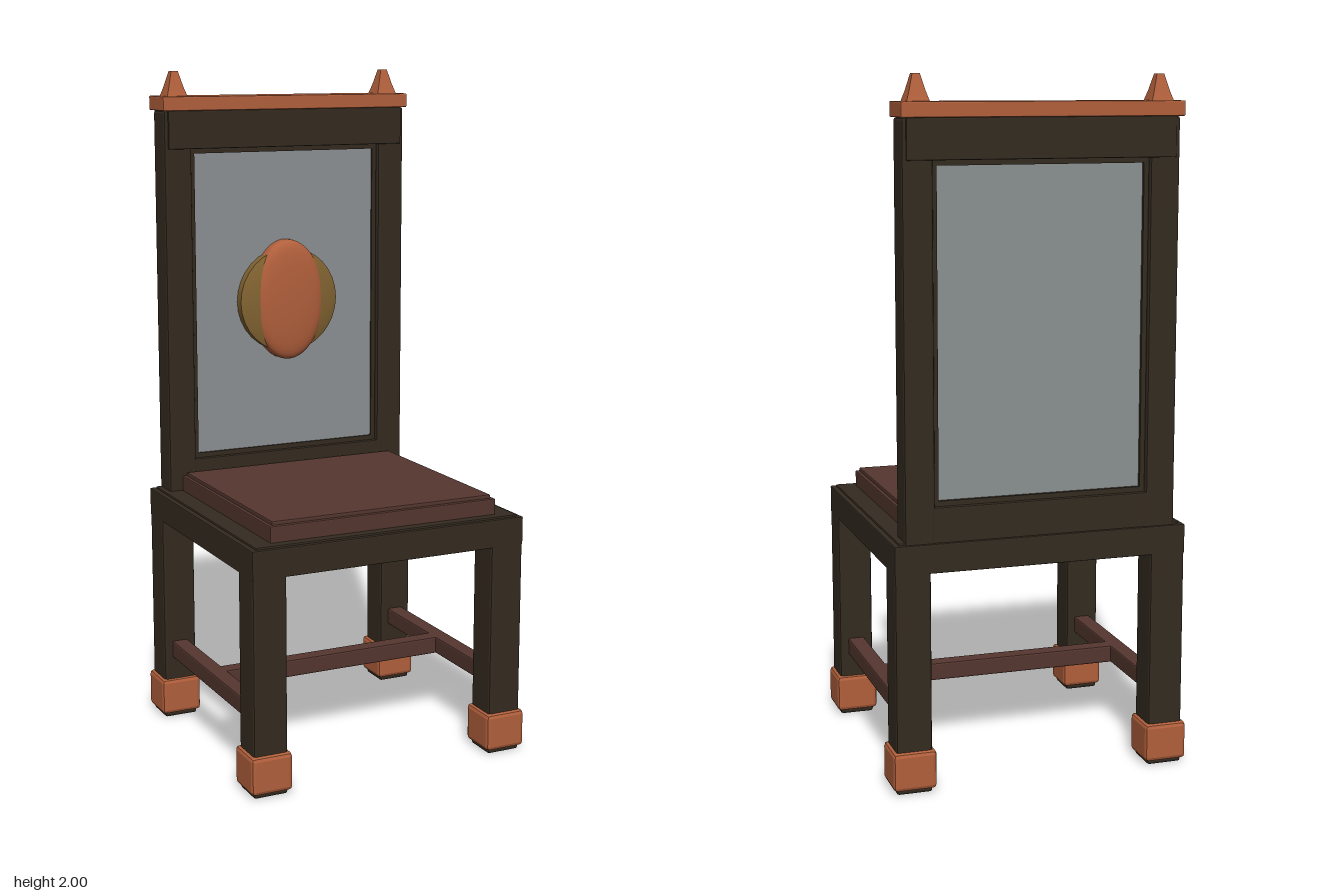
import * as THREE from 'three';
import { RoundedBoxGeometry } from 'three/addons/geometries/RoundedBoxGeometry.js';
import { toCreasedNormals } from 'three/addons/utils/BufferGeometryUtils.js';

const mat = (name, color) => Object.assign(new THREE.MeshStandardMaterial({ color }), { name });

export function createModel() {
  const root = new THREE.Group();
  root.name = 'chair';
  const wood = mat('dark wood', 0x342b20);
  const copper = mat('copper', 0xb2603c);
  const leather = mat('brown leather', 0x54362f);
  const slate = mat('grey panel', 0x8b9092);
  const gold = mat('old gold', 0x836432);

  const add = (name, geometry, material, x = 0, y = 0, z = 0) => {
    const mesh = new THREE.Mesh(geometry, material);
    mesh.name = name;
    mesh.position.set(x, y, z);
    root.add(mesh);
    return mesh;
  };

  // Box given by its limits, with small bevelled edges
  const block = (name, material, [x0, x1], [y0, y1], [z0, z1], bevel = 0.008) => {
    const size = [x1 - x0, y1 - y0, z1 - z0];
    const geometry = bevel ? new RoundedBoxGeometry(...size, 1, bevel) : new THREE.BoxGeometry(...size);
    geometry.computeVertexNormals();
    return add(name, geometry, material, (x0 + x1) / 2, (y0 + y1) / 2, (z0 + z1) / 2);
  };
  const span = (s, a, b) => (s > 0 ? [a, b] : [-b, -a]);

  // Legs with copper feet
  for (const sx of [1, -1]) {
    for (const sz of [1, -1]) {
      block('leg', wood, span(sx, 0.328, 0.432), [0, 0.72], span(sz, 0.298, 0.402));
      block('footCuff', copper, span(sx, 0.317, 0.443), [0.013, 0.126], span(sz, 0.288, 0.414), 0.012);
    }
  }

  // Seat frame with a shallow recess underneath
  for (const s of [1, -1]) {
    block('crossApron', wood, [-0.432, 0.432], [0.638, 0.722], span(s, 0.365, 0.402), 0.003);
    block('sideApron', wood, span(s, 0.395, 0.432), [0.638, 0.722], [-0.4, 0.4], 0.003);
  }
  block('seatBoard', wood, [-0.417, 0.417], [0.65, 0.728], [-0.39, 0.39], 0.003);

  // Cushion in two steps
  block('cushionBase', leather, [-0.36, 0.36], [0.72, 0.775], [-0.305, 0.362], 0.003);
  block('cushionTop', leather, [-0.35, 0.35], [0.75, 0.786], [-0.295, 0.35], 0.003);

  // Stretchers in an H
  for (const s of [1, -1]) {
    block('sideStretcher', leather, span(s, 0.355, 0.405), [0.195, 0.248], [-0.31, 0.31], 0.005);
  }
  block('middleStretcher', leather, [-0.37, 0.37], [0.195, 0.248], [-0.025, 0.025], 0.005);

  // Backrest frame
  for (const s of [1, -1]) {
    block('backPost', wood, span(s, 0.313, 0.4), [0.71, 1.885], [-0.395, -0.305]);
    block('panelSideTrim', wood, span(s, 0.299, 0.32), [0.82, 1.78], [-0.378, -0.322], 0);
  }
  block('backLowerRail', wood, [-0.385, 0.385], [0.72, 0.822], [-0.393, -0.307], 0.003);
  block('backUpperRail', wood, [-0.388, 0.388], [1.772, 1.885], [-0.4, -0.298], 0.003);
  block('panelLowerTrim', wood, [-0.31, 0.31], [0.81, 0.837], [-0.378, -0.322], 0);
  block('panelUpperTrim', wood, [-0.31, 0.31], [1.757, 1.785], [-0.378, -0.322], 0);
  block('backPanel', slate, [-0.31, 0.31], [0.82, 1.77], [-0.367, -0.328], 0);

  // Crest rail and finials
  block('crestRail', copper, [-0.406, 0.406], [1.885, 1.927], [-0.413, -0.293], 0.003);
  for (const s of [1, -1]) {
    const profile = [[0, 0], [0.046, 0], [0.032, 0.03], [0.015, 0.075], [0, 0.075]]
      .map(([r, y]) => new THREE.Vector2(r, y));
    const finial = new THREE.LatheGeometry(profile, 4, Math.PI / 4);
    add('finial', toCreasedNormals(finial, 0.1), copper, s * 0.35, 1.925, -0.353);
  }

  // Domed medallion
  const dome = [[0.162, 0], [0.162, 0.038], [0.14, 0.046], [0.1, 0.053], [0.05, 0.057], [0, 0.059]]
    .map(([r, y]) => new THREE.Vector2(r, y));
  const disc = toCreasedNormals(new THREE.LatheGeometry(dome, 32), 0.6);
  disc.rotateX(Math.PI / 2);
  add('medallion', disc, gold, 0, 1.3, -0.336);

  // Leaf over the medallion: a flattened dome with a flat back
  const leaf = new THREE.SphereGeometry(1, 48, 32);
  const p = leaf.attributes.position;
  for (let i = 0; i < p.count; i++) {
    p.setXYZ(i, p.getX(i) * 0.118, p.getY(i) * 0.187, 0.065 * Math.max(0, p.getZ(i)) ** 0.3);
  }
  leaf.computeVertexNormals();
  add('medallionLeaf', leaf, copper, 0, 1.3, -0.336);

  return root;
}
